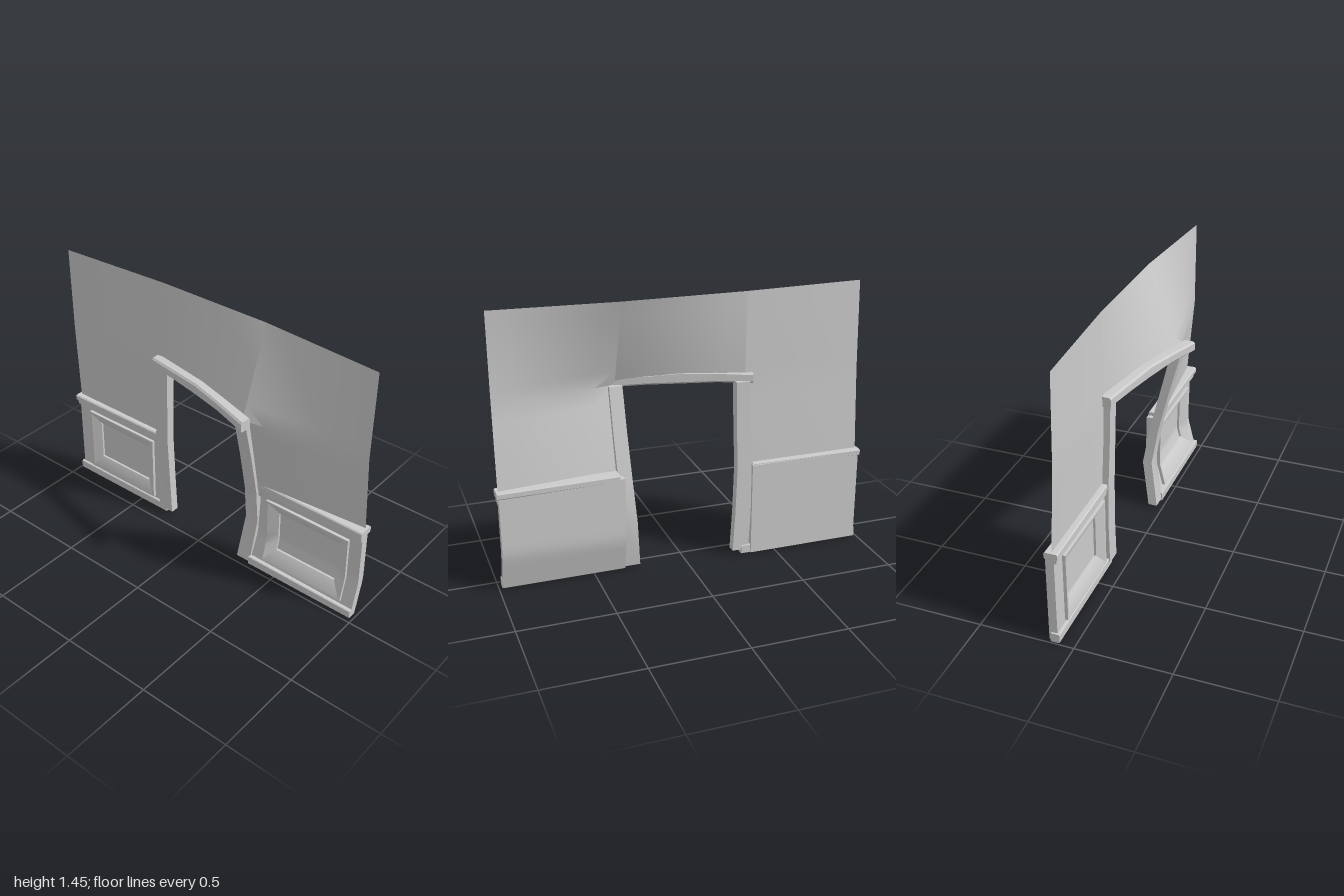
import * as THREE from 'three';
import { toCreasedNormals } from 'three/addons/utils/BufferGeometryUtils.js';

const material = new THREE.MeshStandardMaterial({ color: 0xcccccc, side: THREE.DoubleSide });
const lerp = THREE.MathUtils.lerp;

function toMesh(name, positions, index) {
  const geo = new THREE.BufferGeometry();
  geo.setAttribute('position', new THREE.Float32BufferAttribute(positions, 3));
  geo.setIndex(index);
  const mesh = new THREE.Mesh(toCreasedNormals(geo, 0.5), material);
  mesh.name = name;
  return mesh;
}

// Skin a row of equal-length rings; ends are closed by joining point i to its partner n-1-i
function loft(name, rings) {
  const n = rings[0].length, index = [];
  const quad = (a, b, c, d) => index.push(a, b, c, a, c, d);
  for (let r = 0; r < rings.length - 1; r++) {
    for (let i = 0; i < n; i++) {
      const j = (i + 1) % n, a = r * n, b = a + n;
      quad(a + i, b + i, b + j, a + j);
    }
  }
  const end = (rings.length - 1) * n;
  for (let i = 0; i < n / 2 - 1; i++) {
    quad(i, i + 1, n - 2 - i, n - 1 - i);
    quad(end + i, end + n - 1 - i, end + n - 2 - i, end + i + 1);
  }
  return toMesh(name, rings.flat(2), index);
}

// Chamfered bar running along x; each section is [x, y0, y1, z0, z1]
function railBar(name, sections, b = 0.006) {
  return loft(name, sections.map(([x, y0, y1, z0, z1]) => [
    [x, y0, z1 - b], [x, y0 + b, z1], [x, y1 - b, z1], [x, y1, z1 - b],
    [x, y1, z0 + b], [x, y1 - b, z0], [x, y0 + b, z0], [x, y0, z0 + b],
  ]));
}

// Post running up y; each section is [y, x0, x1, z0, z1]
function post(name, sections) {
  return loft(name, sections.map(([y, x0, x1, z0, z1]) =>
    [[x0, y, z1], [x0, y, z0], [x1, y, z0], [x1, y, z1]]));
}

// Panelled board: nested rectangles [x0, x1, y0, y1, height] following a bent front face
function panelBoard(name, rects, front) {
  const n = 12;
  return loft(name, rects.map(([x0, x1, y0, y1, h]) => {
    const left = [], right = [];
    for (let i = 0; i <= n; i++) {
      const y = lerp(y0, y1, i / n), z = front(y) + h;
      left.push([x0, y, z]);
      right.unshift([x1, y, z]);
    }
    return [...left, ...right];
  }));
}

// Thin wall sheet between rows of [left point, right point], from the top down
function wallSheet(name, rows, steps = 6) {
  const positions = [], index = [], w = steps + 1;
  let count = 0;
  for (let r = 0; r < rows.length - 1; r++) {
    for (let k = r ? 1 : 0; k <= steps; k++, count++) {
      for (let i = 0; i <= steps; i++) {
        for (let c = 0; c < 3; c++) {
          const l = lerp(rows[r][0][c], rows[r + 1][0][c], k / steps);
          const m = lerp(rows[r][1][c], rows[r + 1][1][c], k / steps);
          positions.push(lerp(l, m, i / steps));
        }
      }
    }
  }
  for (let r = 0; r < count - 1; r++) {
    for (let i = 0; i < steps; i++) {
      const a = r * w + i, b = a + w;
      index.push(a, b, b + 1, a, b + 1, a + 1);
    }
  }
  return toMesh(name, positions, index);
}

export function createModel() {
  const model = new THREE.Group();

  // Warped wall in three sections around the doorway
  model.add(
    wallSheet('wallRightSide', [
      [[-0.965, 1.45, -0.07], [-0.32, 1.45, -0.105]],
      [[-0.97, 0.98, -0.08], [-0.32, 0.98, -0.095]],
      [[-0.978, 0.46, -0.105], [-0.34, 0.46, -0.105]],
    ]),
    wallSheet('wallOverDoor', [
      [[-0.32, 1.45, -0.105], [0.33, 1.45, -0.105]],
      [[-0.32, 0.98, -0.095], [0.33, 0.98, 0.06]],
    ]),
    wallSheet('wallLeftSide', [
      [[0.33, 1.45, -0.105], [0.98, 1.45, -0.06]],
      [[0.33, 0.98, 0.06], [0.978, 0.98, -0.06]],
      [[0.335, 0.46, -0.06], [0.98, 0.46, -0.105]],
    ]),
  );

  // Crooked door frame
  model.add(
    railBar('lintel', [
      [-0.36, 0.965, 1.02, -0.115, -0.05],
      [-0.18, 0.975, 1.032, -0.07, -0.008],
      [0, 0.975, 1.04, -0.03, 0.03],
      [0.18, 0.975, 1.03, 0.012, 0.075],
      [0.38, 0.965, 1.022, 0.065, 0.135],
    ], 0.01),
    post('rightJamb', [
      [0.025, -0.35, -0.26, -0.122, -0.075],
      [0.25, -0.36, -0.272, -0.122, -0.075],
      [0.5, -0.365, -0.28, -0.12, -0.07],
      [0.75, -0.348, -0.273, -0.115, -0.065],
      [0.98, -0.342, -0.267, -0.118, -0.06],
    ]),
    post('leftJamb', [
      [0.015, 0.25, 0.335, -0.08, -0.03],
      [0.28, 0.273, 0.35, -0.122, -0.07],
      [0.5, 0.285, 0.36, -0.085, -0.035],
      [0.75, 0.293, 0.365, -0.025, 0.025],
      [0.98, 0.297, 0.367, 0.03, 0.085],
    ]),
  );

  // Wainscots: board with a raised moulding sloping into a sunken field
  const flat = () => -0.092;
  const kicked = (y) => (y < 0.2 ? lerp(-0.035, -0.085, y / 0.2) : lerp(-0.085, -0.078, (y - 0.2) / 0.35));
  const sides = [
    { name: 'right', front: flat, x0: -0.98, x1: -0.36, top: 0.515, px: [-0.89, -0.40], fx: [-0.83, -0.46] },
    { name: 'left', front: kicked, x0: 0.335, x1: 0.98, top: 0.535, px: [0.405, 0.91], fx: [0.47, 0.84] },
  ];
  for (const { name, front, x0, x1, top, px: [a, b], fx: [c, d] } of sides) {
    model.add(panelBoard(name + 'Wainscot', [
      [x0, x1, 0.005, top, -0.044],
      [x0, x1, 0.005, top, 0],
      [a, b, 0.065, 0.45, 0],
      [a, b, 0.065, 0.45, 0.017],
      [a + 0.012, b - 0.012, 0.077, 0.44, 0.017],
      [c, d, 0.14, 0.38, -0.014],
      [c, d, 0.14, 0.38, -0.026],
    ], front));
  }

  // Chair rails and skirting boards
  model.add(
    railBar('rightChairRail', [[-0.99, 0.49, 0.525, -0.138, -0.068], [-0.365, 0.49, 0.525, -0.128, -0.075]]),
    railBar('rightLowerRail', [[-0.982, 0.465, 0.495, -0.12, -0.077], [-0.365, 0.465, 0.495, -0.12, -0.08]], 0.004),
    railBar('rightSkirting', [[-0.99, 0, 0.05, -0.126, -0.078], [-0.31, 0, 0.05, -0.126, -0.08]], 0.004),
    railBar('leftChairRail', [[0.36, 0.518, 0.555, -0.122, -0.045], [0.99, 0.515, 0.55, -0.13, -0.045]]),
    railBar('leftLowerRail', [[0.355, 0.485, 0.52, -0.115, -0.058], [0.985, 0.485, 0.517, -0.115, -0.058]], 0.004),
    railBar('leftSkirting', [[0.33, 0, 0.052, -0.075, -0.025], [0.982, 0, 0.045, -0.075, -0.025]], 0.004),
  );
  return model;
}
